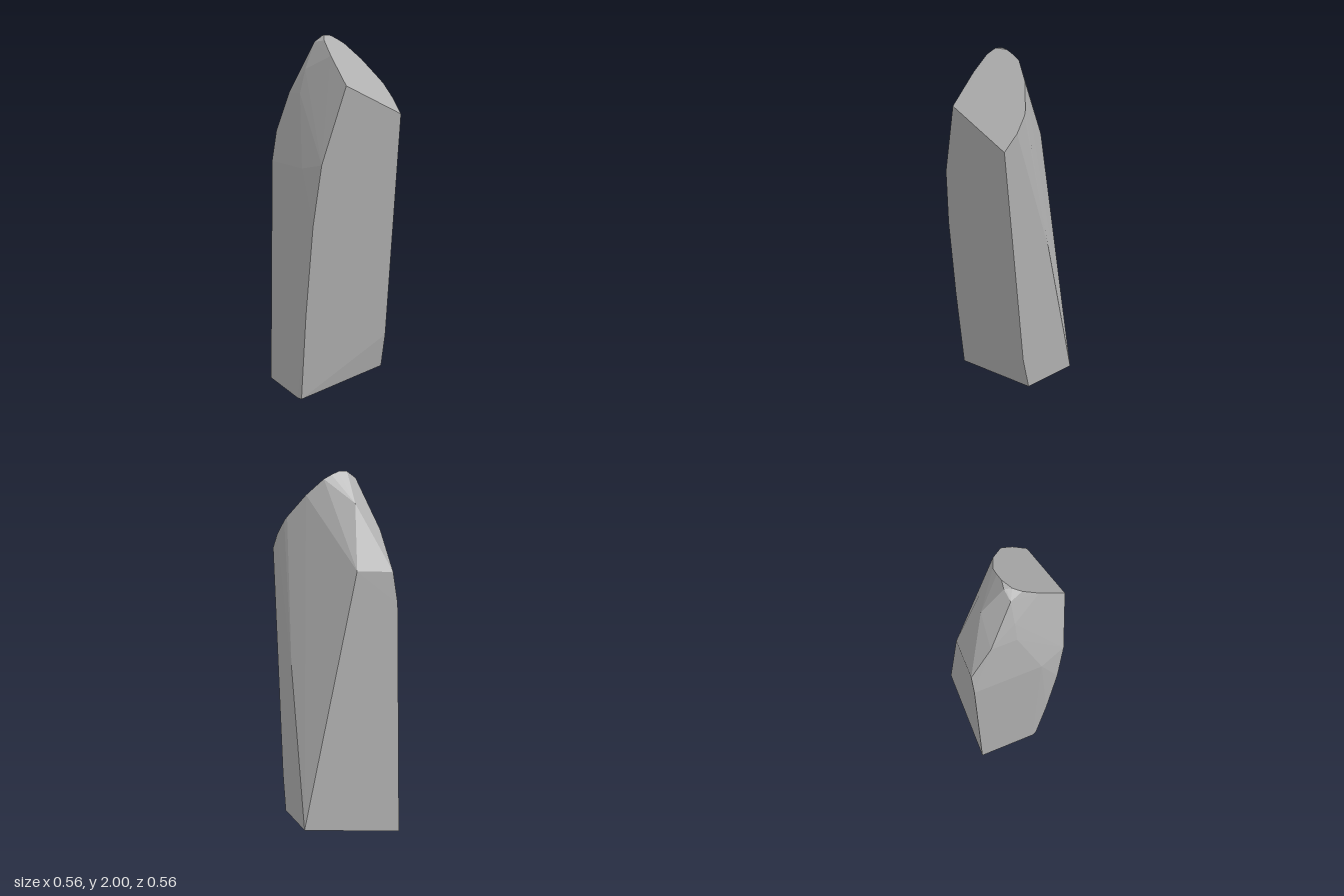
import * as THREE from 'three';
import { ConvexGeometry } from 'three/addons/geometries/ConvexGeometry.js';

// Heights of the two big cut planes of the stone
const slopeY = (x, z) => 2 - 0.559 * (x + 0.013) - 0.984 * (z + 0.027);
const frontZ = (x, y) => 0.277 - 0.0765 * (x + 0.083) + 0.107 * (y - 1.74);

export function createModel() {
  const group = new THREE.Group();
  group.name = 'standingStone';
  const stone = new THREE.MeshStandardMaterial({ color: 0xb0b0b0 });
  stone.name = 'grey stone';

  const points = [];
  const add = (x, y, z) => points.push(new THREE.Vector3(x, y, z));

  // Slanted foot
  add(-0.283, 0, -0.28);
  add(0.282, 0.085, -0.28);
  add(0.282, 0.085, 0.05);
  add(-0.27, 0, 0.105);
  add(-0.28, 0, 0.08);

  // Outline of the leaning front face
  for (const [x, y] of [[0.282, 0.29], [-0.265, 0.5], [-0.246, 1.0], [-0.21, 1.33]]) add(x, y, frontZ(x, y));

  // Outline of the sloped top facet
  const rim = [[-0.083, 0.277], [0.282, 0.232], [0.282, 0.15], [0.262, 0.085], [0.25, 0.07], [0.165, 0],
    [0.075, -0.035], [0.03, -0.033], [-0.013, -0.027], [-0.07, 0.003], [-0.09, 0.045], [-0.095, 0.13]];
  for (const [x, z] of rim) add(x, slopeY(x, z), z);

  // Side shoulder and flat back
  add(0.282, 0.95, -0.08);
  add(-0.02, 1.48, -0.28);
  add(-0.228, 1.47, -0.28);
  add(-0.257, 1.3, -0.28);
  add(-0.255, 1.3, 0.1);

  // Crest and rounded left shoulder
  add(-0.06, 2, -0.034);
  add(-0.072, 1.995, -0.023);
  add(-0.06, 1.83, -0.152);
  add(-0.115, 1.965, -0.023);
  add(-0.17, 1.82, -0.023);
  add(-0.203, 1.69, -0.023);
  add(-0.203, 1.69, -0.16);

  const body = new THREE.Mesh(new ConvexGeometry(points), stone);
  body.name = 'stoneBody';
  group.add(body);
  return group;
}
